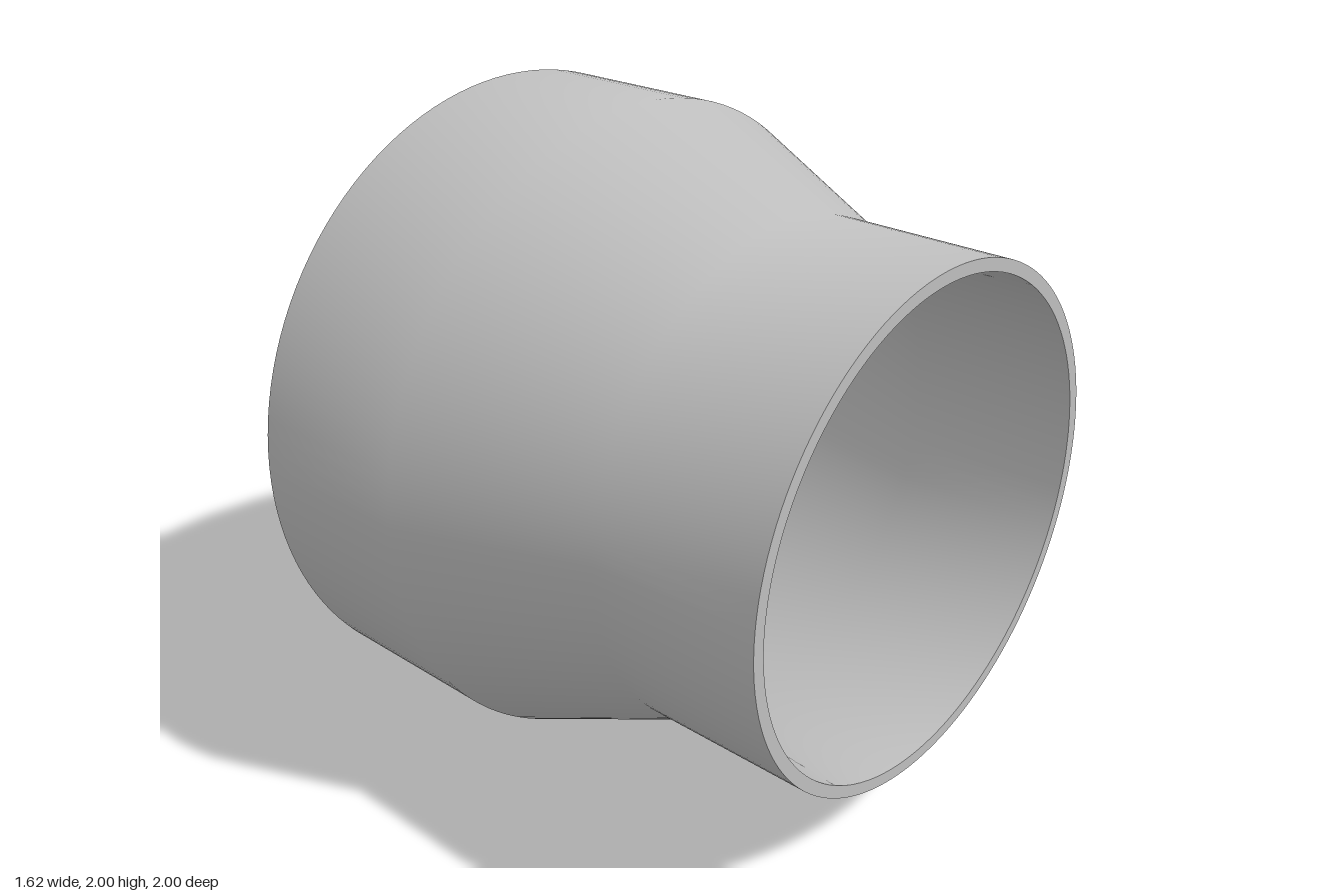
import * as THREE from 'three';

// Concentric pipe reducer: a wide collar, a cone and a narrow collar along x
export function createModel() {
  const group = new THREE.Group();
  group.name = 'pipeReducer';
  const steel = new THREE.MeshStandardMaterial({ color: 0xbfbfbf });
  steel.name = 'grey steel';

  const END = 0.81, BEND = 0.27, WIDE = 1, NARROW = 0.77, WALL = 0.038;

  // Profile points are [radius, position along the axis]
  const outer = [[WIDE, -END], [WIDE, -BEND], [NARROW, BEND], [NARROW, END]];
  const inner = outer.map(([r, x]) => [r - WALL, x]).reverse();

  // Separate surfaces keep the rim edges sharp
  const addLathe = (name, profile) => {
    const points = profile.map(([r, x]) => new THREE.Vector2(r, x));
    const geometry = new THREE.LatheGeometry(points, 128);
    geometry.rotateZ(-Math.PI / 2);
    const mesh = new THREE.Mesh(geometry, steel);
    mesh.name = name;
    mesh.position.y = WIDE;
    group.add(mesh);
  };

  addLathe('outerWall', outer);
  addLathe('narrowRim', [outer[3], inner[0]]);
  addLathe('innerWall', inner);
  addLathe('wideRim', [inner[3], outer[0]]);
  return group;
}
